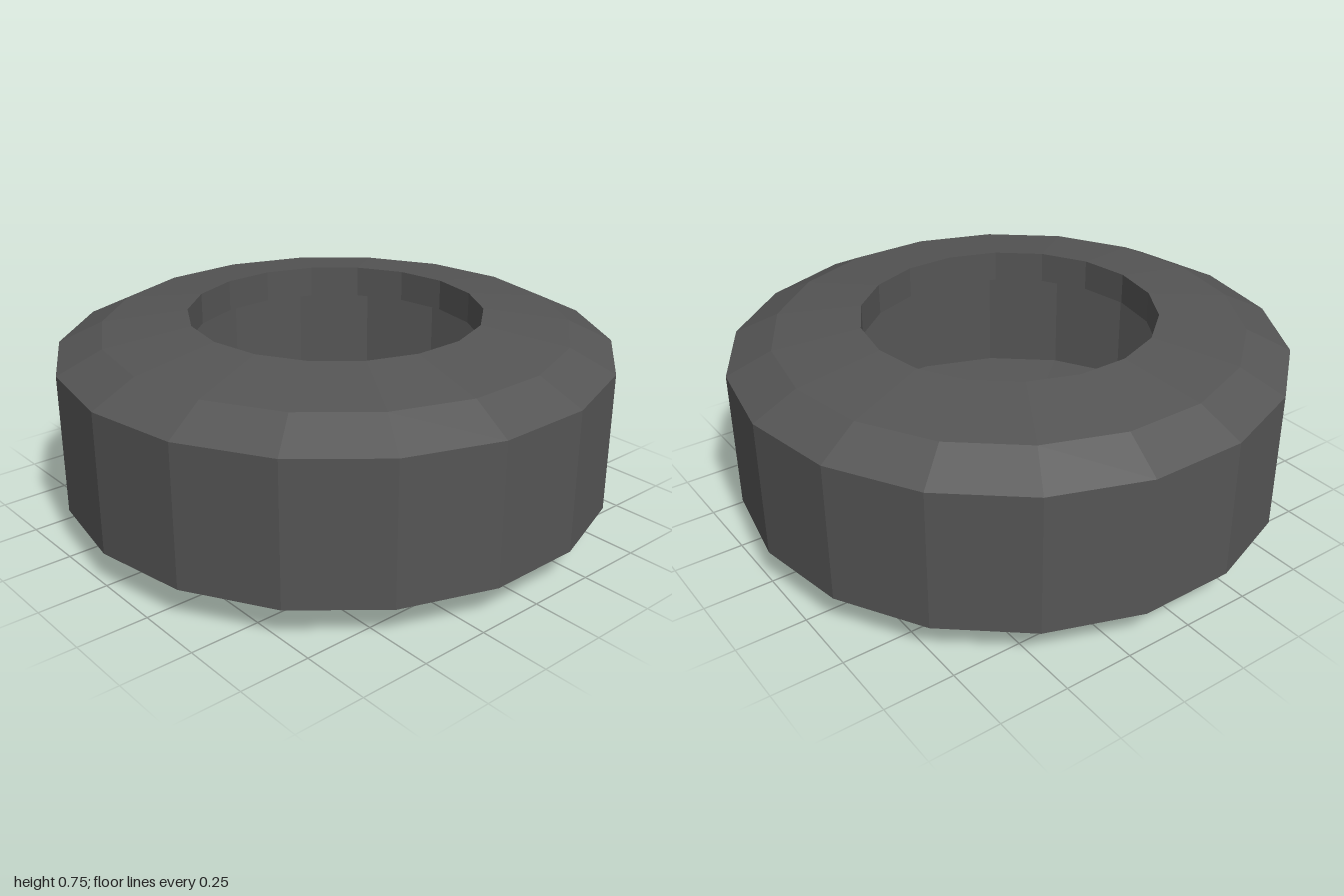
import * as THREE from 'three';

const SIDES = 18;
const HEIGHT = 0.75;

export function createModel() {
  const group = new THREE.Group();
  group.name = 'tire';

  // Lower half of the section, from the hollow inside, round the lip, to the tread
  const half = [
    [0.83, 0.125], // hollow corner
    [0.53, 0.115], // inner end of the lip
    [0.53, 0],     // rim edge
    [0.84, 0.045], // shoulder
    [1, 0.122],    // tread edge
  ];

  // Mirror for the upper half and close the loop
  const section = [
    ...half,
    ...half.map(([r, y]) => [r, HEIGHT - y]).reverse(),
    half[0],
  ].map(([r, y]) => new THREE.Vector2(r, y));

  const material = new THREE.MeshStandardMaterial({ color: 0x555555, flatShading: true });
  const tire = new THREE.Mesh(new THREE.LatheGeometry(section, SIDES), material);
  tire.name = 'tireBody';
  group.add(tire);

  return group;
}
